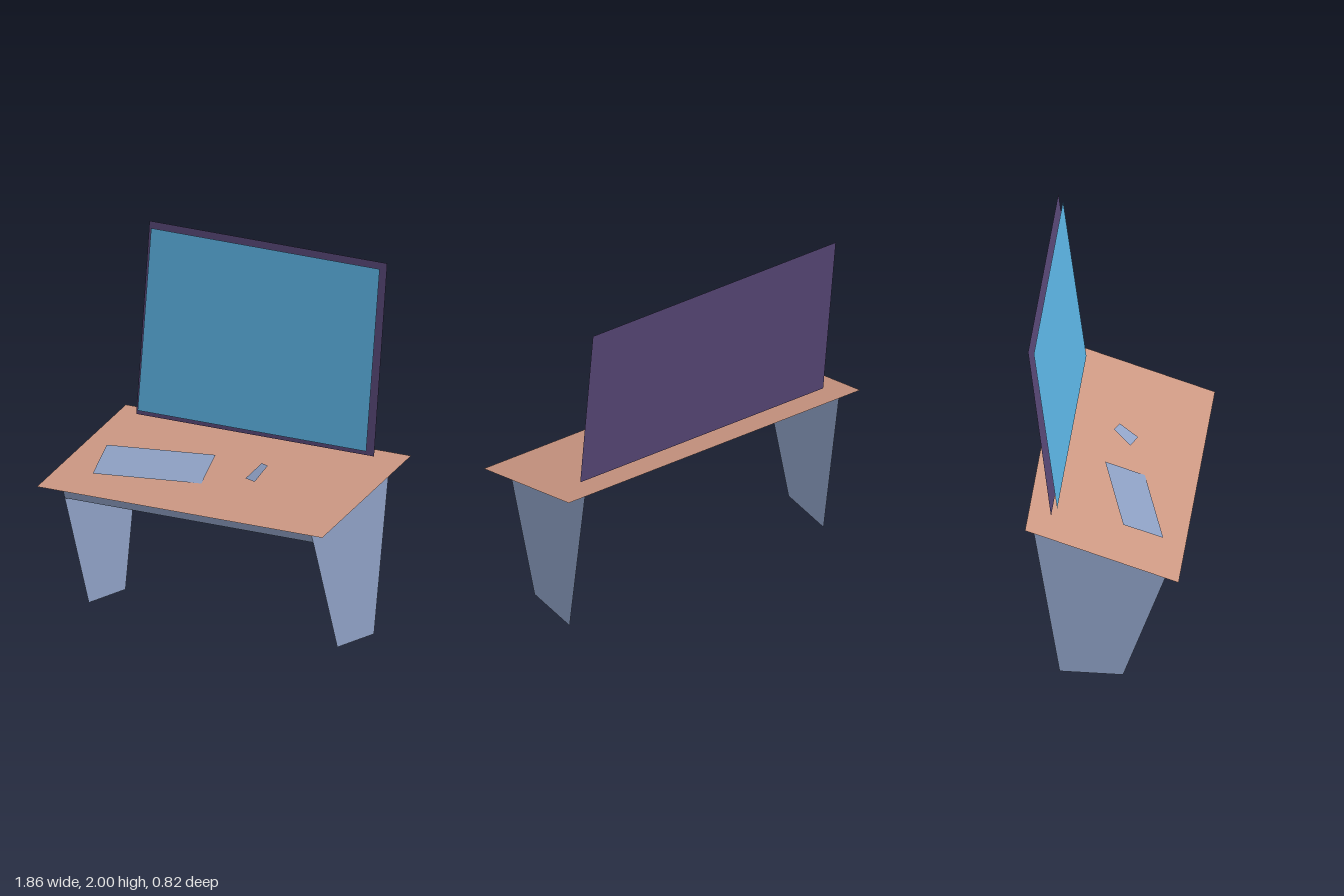
import * as THREE from 'three';

const material = (name, color) => {
  const m = new THREE.MeshStandardMaterial({ color, side: THREE.DoubleSide });
  m.name = name;
  return m;
};

// Flat four-cornered sheet, corners counter-clockwise seen from its front
function sheet(name, mat, corners) {
  const geometry = new THREE.BufferGeometry();
  geometry.setAttribute('position', new THREE.Float32BufferAttribute(corners.flat(), 3));
  geometry.setIndex([0, 1, 2, 0, 2, 3]);
  geometry.computeVertexNormals();
  const mesh = new THREE.Mesh(geometry, mat);
  mesh.name = name;
  return mesh;
}

// Sheet symmetric in x, running from a front/bottom line to a back/top line, each [y, z]
const span = (name, mat, halfWidth, [y0, z0], [y1, z1]) => sheet(name, mat, [
  [-halfWidth, y0, z0], [halfWidth, y0, z0], [halfWidth, y1, z1], [-halfWidth, y1, z1],
]);

export function createModel() {
  const group = new THREE.Group();
  group.name = 'computerDesk';

  const wood = material('wood', 0xcd9883);
  const blueGrey = material('blueGrey', 0x8d9fc3);
  const purple = material('darkPurple', 0x564675);
  const blue = material('screenBlue', 0x5bb2e2);

  // Sloping desk top and the narrow rail under its front edge
  group.add(span('deskTop', wood, 0.93, [0.688, 0.41], [0.963, -0.413]));
  group.add(span('frontRail', blueGrey, 0.81, [0.625, 0.323], [0.703, 0.35]));

  // Tapered side panels as legs
  for (const [name, side] of [['leftLeg', 1], ['rightLeg', -1]]) {
    const corners = [[0, 0.1], [0, -0.24], [0.945, -0.39], [0.7, 0.35]]
      .map(([y, z]) => [side * 0.81, y, z]);
    if (side < 0) corners.reverse();
    group.add(sheet(name, blueGrey, corners));
  }

  // Monitor leaning back, with the screen just in front of its panel
  group.add(span('monitorPanel', purple, 0.775, [0.962, -0.29], [2, -0.413]));
  group.add(span('screen', blue, 0.745, [0.992, -0.26], [1.97, -0.385]));

  // Keyboard and mouse, turned on the desk
  group.add(sheet('keyboard', blueGrey, [
    [-0.645, 0.78, 0.298], [-0.05, 0.78, 0.137], [-0.103, 0.885, -0.07], [-0.7, 0.885, 0.09],
  ]));
  group.add(sheet('mouse', blueGrey, [
    [0.167, 0.82, 0.036], [0.25, 0.82, 0.07], [0.265, 0.89, -0.03], [0.208, 0.89, -0.056],
  ]));

  return group;
}
